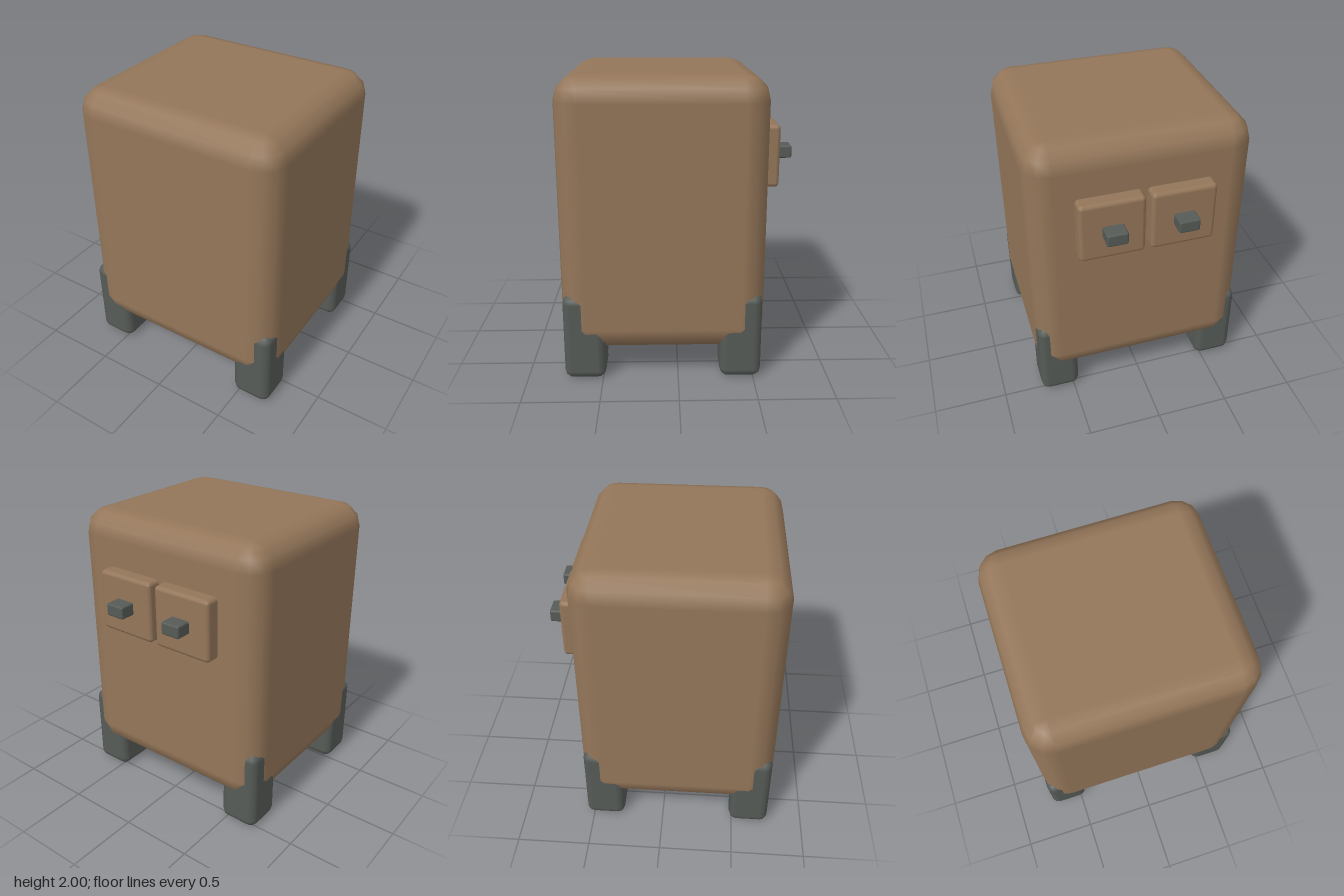
import * as THREE from 'three';

// Box with edges rounded in three steps, given by its min and max corners
function roundedBox([x0, y0, z0], [x1, y1, z1], r) {
  const steps = 3, cols = 4 * (steps + 1), rows = 2 * (steps + 1);
  const hx = (x1 - x0) / 2 - r, hy = (y1 - y0) / 2 - r, hz = (z1 - z0) / 2 - r;
  const pos = [], nor = [], idx = [];
  for (let i = 0; i < rows; i++) {
    const lower = i > steps;
    const phi = ((lower ? i - 1 : i) / steps) * Math.PI / 2;
    for (let k = 0; k < cols; k++) {
      const corner = Math.floor(k / (steps + 1));
      const a = (corner + (k % (steps + 1)) / steps) * Math.PI / 2;
      const n = [Math.sin(phi) * Math.cos(a), Math.cos(phi), Math.sin(phi) * Math.sin(a)];
      const sx = corner === 0 || corner === 3 ? 1 : -1, sz = corner < 2 ? 1 : -1;
      nor.push(...n);
      pos.push(sx * hx + r * n[0], (lower ? -hy : hy) + r * n[1], sz * hz + r * n[2]);
      if (i < rows - 1) {
        const p = i * cols + k, q = i * cols + (k + 1) % cols;
        idx.push(p, q, p + cols, q, q + cols, p + cols);
      }
    }
  }
  // flat top and bottom
  const s = steps + 1, b = (rows - 1) * cols;
  idx.push(0, 2 * s, s, 0, 3 * s, 2 * s);
  idx.push(b, b + s, b + 2 * s, b, b + 2 * s, b + 3 * s);
  const g = new THREE.BufferGeometry();
  g.setAttribute('position', new THREE.Float32BufferAttribute(pos, 3));
  g.setAttribute('normal', new THREE.Float32BufferAttribute(nor, 3));
  g.setIndex(idx);
  return g.translate((x0 + x1) / 2, (y0 + y1) / 2, (z0 + z1) / 2);
}

export function createModel() {
  const model = new THREE.Group();
  const brown = new THREE.MeshStandardMaterial({ color: 0x947659 });
  brown.name = 'brown';
  const darkGrey = new THREE.MeshStandardMaterial({ color: 0x565b57 });
  darkGrey.name = 'darkGrey';

  const add = (name, min, max, r, material) => {
    const mesh = new THREE.Mesh(roundedBox(min, max, r), material);
    mesh.name = name;
    model.add(mesh);
  };

  // Cabinet body
  add('body', [-0.737, 0.19, -0.575], [0.737, 2, 0.77], 0.165, brown);

  for (const [side, s] of [['Left', 1], ['Right', -1]]) {
    const span = (a, b) => (s > 0 ? [a, b] : [-b, -a]);

    // Corner legs, partly sunk into the body
    const [lx0, lx1] = span(0.457, 0.73);
    add('front' + side + 'Leg', [lx0, 0, 0.48], [lx1, 0.587, 0.755], 0.055, darkGrey);
    add('back' + side + 'Leg', [lx0, 0, -0.553], [lx1, 0.587, -0.278], 0.055, darkGrey);

    // Small panels with pull knobs on the back
    const [px0, px1] = span(0.018, 0.447);
    add('panel' + side, [px0, 1.24, -0.67], [px1, 1.655, -0.5], 0.027, brown);
    const [kx0, kx1] = span(0.163, 0.3);
    add('knob' + side, [kx0, 1.405, -0.772], [kx1, 1.49, -0.64], 0.012, darkGrey);
  }
  return model;
}
